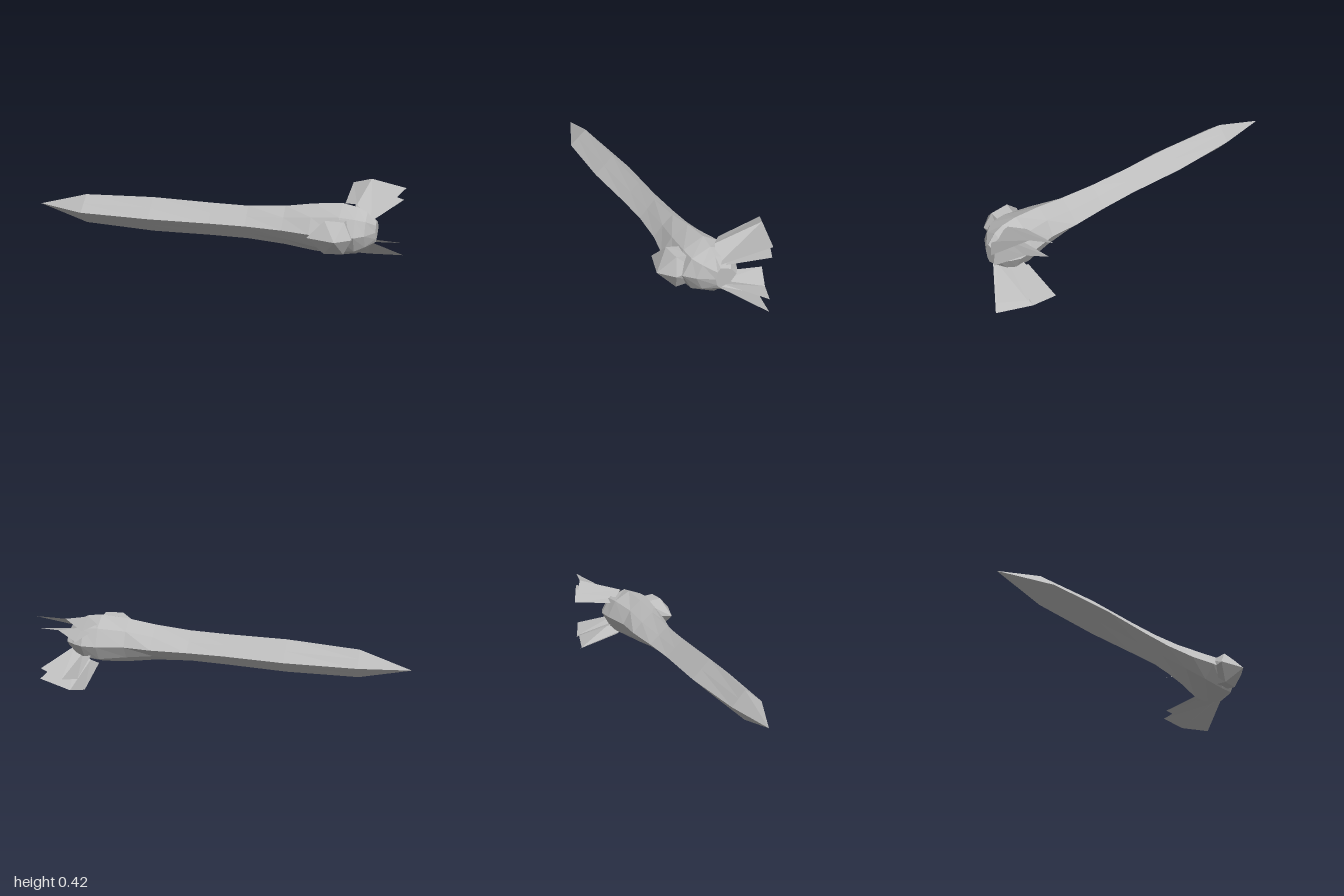
import * as THREE from 'three';

const MID = 0.21; // height of the mirror plane between upper and lower halves

function facetedMesh(name, triangles, material) {
  const geometry = new THREE.BufferGeometry();
  geometry.setAttribute('position', new THREE.Float32BufferAttribute(triangles.flat(2), 3));
  geometry.computeVertexNormals();
  const mesh = new THREE.Mesh(geometry, material);
  mesh.name = name;
  return mesh;
}

// Skin between rings of points, closed at both ends
function loft(rings) {
  const tris = [];
  const n = rings[0].length;
  const centre = (ring) => [0, 1, 2].map((k) => ring.reduce((s, p) => s + p[k], 0) / n);
  const first = rings[0], last = rings[rings.length - 1];
  for (let j = 0; j < n; j++) {
    const k = (j + 1) % n;
    for (let i = 0; i < rings.length - 1; i++) {
      const r = rings[i], s = rings[i + 1];
      tris.push([r[j], s[j], r[k]], [r[k], s[j], s[k]]);
    }
    tris.push([centre(first), first[j], first[k]], [centre(last), last[k], last[j]]);
  }
  return tris;
}

// Folded sheet between a root line and a tip line
function sheet(root, tip) {
  const tris = [];
  for (let i = 0; i < root.length - 1; i++) {
    tris.push([root[i], root[i + 1], tip[i]], [root[i + 1], tip[i + 1], tip[i]]);
  }
  return tris;
}

// Cross-section: diamond whose flanks swell outward by the factor "bulge"
function hullRing([x, front, back, ridge, half, bulge]) {
  const fz = ridge + (front - ridge) * 0.5 * bulge;
  const bz = ridge + (back - ridge) * 0.5 * bulge;
  const sh = half * 0.5 * bulge;
  return [
    [x, MID, front], [x, MID + sh, fz], [x, MID + half, ridge], [x, MID + sh, bz],
    [x, MID, back], [x, MID - sh, bz], [x, MID - half, ridge], [x, MID - sh, fz],
  ];
}

export function createModel() {
  const group = new THREE.Group();
  const hullGrey = new THREE.MeshStandardMaterial({ color: 0xbdbdbd, side: THREE.DoubleSide });

  // Long hull: x, front z, back z, ridge z, half height, bulge
  const hull = [
    [-1, 0, 0, 0, 0, 1],
    [-0.72, 0.12, -0.045, 0.025, 0.08, 1],
    [-0.33, 0.14, -0.065, 0.035, 0.095, 1],
    [0, 0.13, -0.055, 0.04, 0.09, 1],
    [0.2, 0.13, -0.06, 0.045, 0.09, 1],
    [0.4, 0.15, -0.073, 0.045, 0.105, 1.08],
    [0.55, 0.185, -0.068, 0.04, 0.128, 1.2],
    [0.7, 0.2, -0.1, 0.035, 0.14, 1.3],
  ];
  group.add(facetedMesh('hull', loft(hull.map(hullRing)), hullGrey));

  // Rounded end of the hull
  const head = [
    [0.7, 0.2, -0.1, 0.035, 0.14, 1.3],
    [0.78, 0.188, -0.105, 0.04, 0.125, 1.35],
    [0.83, 0.14, -0.085, 0.04, 0.1, 1.35],
    [0.877, 0.06, -0.055, 0.035, 0.056, 1.3],
  ];
  group.add(facetedMesh('head', loft(head.map(hullRing)), hullGrey));

  // Pointed pod on the front of the head
  const podRing = (pts) => [
    ...pts,
    ...pts.slice(1, -1).reverse().map(([x, y, z]) => [x, 2 * MID - y, z]),
  ];
  const apex = [0.7, MID, 0.287];
  const pod = [
    podRing([[0.62, MID, 0.1], [0.65, 0.285, 0.1], [0.74, 0.285, 0.1], [0.76, MID, 0.1]]),
    podRing([[0.55, MID, 0.24], [0.635, 0.298, 0.205], [0.735, 0.295, 0.2], [0.778, MID, 0.22]]),
    podRing([apex, apex, apex, apex]),
  ];
  // Ring order at the mirrored side runs right to left
  group.add(facetedMesh('pod', loft(pod), hullGrey));

  // Two pairs of folded fins, upper and lower
  const fins = [
    ['outerFin',
      [[0.7, 0.325, -0.05], [0.77, 0.34, 0.01], [0.85, 0.265, 0.045]],
      [[0.705, 0.38, -0.28], [0.81, 0.42, -0.228], [1, 0.396, -0.175]]],
    ['innerFin',
      [[0.74, 0.275, -0.055], [0.8, 0.285, -0.02], [0.855, 0.262, 0.01]],
      [[0.74, 0.317, -0.287], [0.85, 0.355, -0.24], [0.99, 0.33, -0.18]]],
  ];
  for (const [name, root, tip] of fins) {
    for (const side of [1, -1]) {
      const place = (pts) => pts.map(([x, y, z]) => [x, MID + side * (y - MID), z]);
      const mesh = facetedMesh(name + (side > 0 ? 'Upper' : 'Lower'), sheet(place(root), place(tip)), hullGrey);
      group.add(mesh);
    }
  }
  return group;
}
